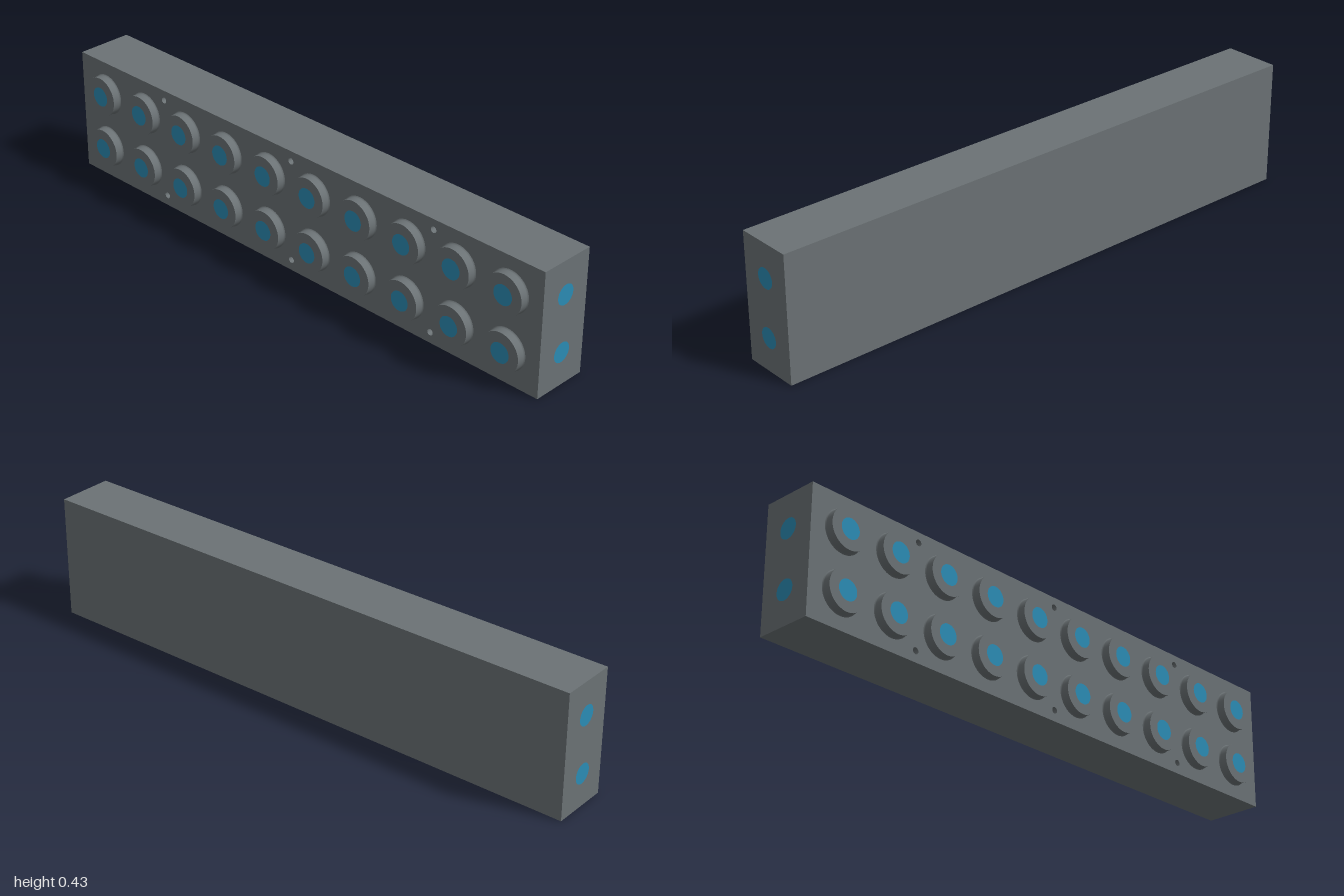
import * as THREE from 'three';

const W = 2, H = 0.425, BACK = -0.111, FRONT = 0.084, TIP = 0.113;
const HOLE_R = 0.011, HOLE_DEPTH = 0.06;
const ROWS = [0.115, 0.31];

export function createModel() {
  const model = new THREE.Group();
  model.name = 'manifoldBlock';
  const steel = new THREE.MeshStandardMaterial({ color: 0x6b7275 });
  steel.name = 'grey steel';
  const blue = new THREE.MeshStandardMaterial({ color: 0x2b8cb5 });
  blue.name = 'port blue';

  const add = (name, geometry, material, x, y, z) => {
    const mesh = new THREE.Mesh(geometry, material);
    mesh.name = name;
    mesh.position.set(x, y, z);
    model.add(mesh);
    return mesh;
  };

  // Solid rear of the block
  const split = FRONT - HOLE_DEPTH;
  add('blockRear', new THREE.BoxGeometry(W, H, split - BACK), steel, 0, H / 2, (split + BACK) / 2);

  // Front layer, drilled with six blind screw holes
  const face = new THREE.Shape();
  face.moveTo(-W / 2, 0).lineTo(W / 2, 0).lineTo(W / 2, H).lineTo(-W / 2, H).closePath();
  for (const x of [-0.587, 0, 0.587]) {
    for (const y of [0.037, 0.39]) {
      face.holes.push(new THREE.Path().absarc(x, y, HOLE_R, 0, Math.PI * 2, true));
    }
  }
  const frontLayer = new THREE.ExtrudeGeometry(face, { depth: HOLE_DEPTH, bevelEnabled: false, curveSegments: 12 });
  add('blockFront', frontLayer, steel, 0, 0, split);

  // Round bosses with a small flare at the root; separate flat end faces stay crisp
  const height = TIP - FRONT;
  const wall = new THREE.LatheGeometry([
    new THREE.Vector2(0.071, 0),
    new THREE.Vector2(0.069, 0.002),
    new THREE.Vector2(0.068, 0.005),
    new THREE.Vector2(0.068, height),
  ], 48).rotateX(Math.PI / 2);
  const cap = new THREE.CircleGeometry(0.068, 48);
  const port = new THREE.CircleGeometry(0.034, 40);
  for (const y of ROWS) {
    for (let i = 0; i < 10; i++) {
      const x = (i - 4.5) * 0.195;
      add('bossWall', wall, steel, x, y, FRONT);
      add('bossFace', cap, steel, x, y, TIP);
      add('frontPort', port, blue, x, y, TIP + 0.001);
    }
    // Ports on both ends
    for (const side of [-1, 1]) {
      add('endPort', port, blue, side * (W / 2 + 0.001), y, -0.014).rotation.y = side * Math.PI / 2;
    }
  }
  return model;
}
